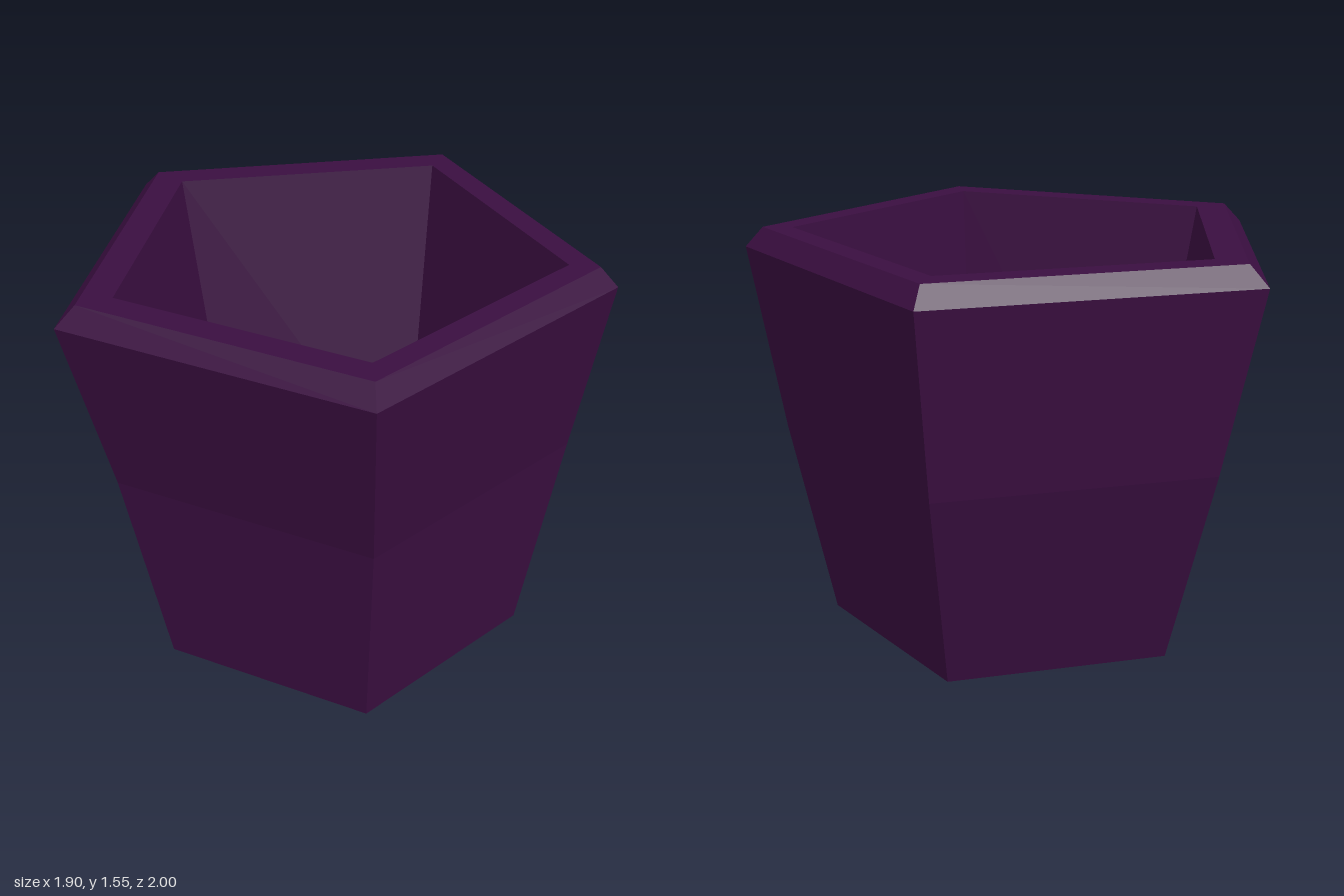
import * as THREE from 'three';

const SIDES = 5;

// A pentagon cross-section: radius, height, and forward shift; it leans left in step with its size
function ring(r, y, z) {
  const points = [];
  for (let i = 0; i < SIDES; i++) {
    const a = (i / SIDES) * Math.PI * 2;
    points.push([-0.098 * r + r * Math.cos(a), y, z + r * Math.sin(a)]);
  }
  return points;
}

// Faceted skin through successive rings
function skin(rings) {
  const pos = [];
  for (let k = 0; k < rings.length - 1; k++) {
    const [p, q] = [rings[k], rings[k + 1]];
    for (let i = 0; i < SIDES; i++) {
      const j = (i + 1) % SIDES;
      pos.push(...p[i], ...q[i], ...q[j], ...p[i], ...q[j], ...p[j]);
    }
  }
  return toGeometry(pos);
}

// Flat pentagon facing up or down
function cap(points, up) {
  const pos = [];
  for (let i = 1; i < SIDES - 1; i++) {
    const [b, c] = up ? [i + 1, i] : [i, i + 1];
    pos.push(...points[0], ...points[b], ...points[c]);
  }
  return toGeometry(pos);
}

function toGeometry(pos) {
  const g = new THREE.BufferGeometry();
  g.setAttribute('position', new THREE.Float32BufferAttribute(pos, 3));
  g.computeVertexNormals();
  return g;
}

export function createModel() {
  const model = new THREE.Group();
  model.name = 'plantPot';
  const plum = new THREE.MeshStandardMaterial({ color: 0x3a0e40 });
  plum.name = 'dark plum';

  const add = (name, geometry) => {
    const mesh = new THREE.Mesh(geometry, plum);
    mesh.name = name;
    model.add(mesh);
  };

  const underFloor = ring(0.605, 0.17, 0.04);
  const foot = ring(0.716, 0, 0.047);
  const waist = ring(0.894, 0.78, -0.031);
  const lip = ring(1.049, 1.475, 0);
  const rimOuter = ring(0.975, 1.55, 0);
  const rimInner = ring(0.85, 1.55, 0);
  const floor = ring(0.605, 0.178, 0.04);

  // Hollow foot, outer wall, bevelled rim, inner wall
  add('footRecess', skin([underFloor, foot]));
  add('outerWall', skin([foot, waist, lip]));
  add('rim', skin([lip, rimOuter, rimInner]));
  add('innerWall', skin([rimInner, floor]));

  // Floor seen from inside and from below
  add('floor', cap(floor, true));
  add('underside', cap(underFloor, false));

  return model;
}
